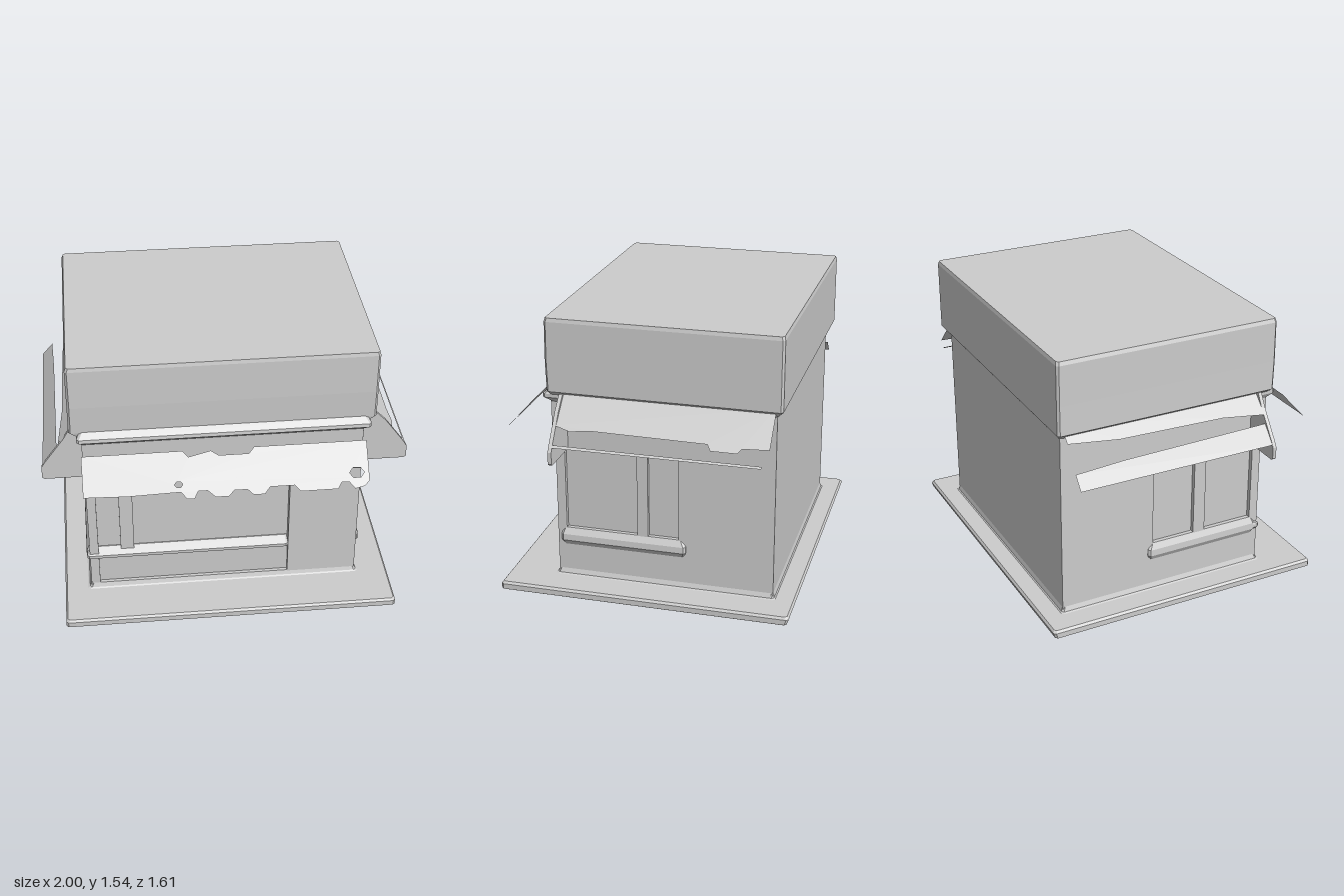
import * as THREE from 'three';

const grey = new THREE.MeshStandardMaterial({ color: 0xcccccc, side: THREE.DoubleSide });

export function createModel() {
  const model = new THREE.Group();

  const add = (name, geometry) => {
    const mesh = new THREE.Mesh(geometry, grey);
    mesh.name = name;
    model.add(mesh);
    return mesh;
  };

  // Box given by its extents
  const block = (name, x0, x1, y0, y1, z0, z1) => {
    const g = new THREE.BoxGeometry(x1 - x0, y1 - y0, z1 - z0);
    g.translate((x0 + x1) / 2, (y0 + y1) / 2, (z0 + z1) / 2);
    return add(name, g);
  };

  // Stack of chamfered rectangles; each level is [y, x0, x1, z0, z1]
  const loft = (name, levels, c = 0.012) => {
    const rings = levels.map(([y, a, b, d, e]) => [
      [a + c, e], [b - c, e], [b, e - c], [b, d + c],
      [b - c, d], [a + c, d], [a, d + c], [a, e - c],
    ].map(([x, z]) => [x, y, z]));
    const p = [];
    for (let k = 0; k + 1 < rings.length; k++) {
      for (let i = 0; i < 8; i++) {
        const j = (i + 1) % 8, lo = rings[k], hi = rings[k + 1];
        p.push(...lo[i], ...lo[j], ...hi[j], ...lo[i], ...hi[j], ...hi[i]);
      }
    }
    const first = rings[0], last = rings[rings.length - 1];
    for (let i = 1; i < 7; i++) {
      p.push(...first[0], ...first[i + 1], ...first[i]);
      p.push(...last[0], ...last[i], ...last[i + 1]);
    }
    const g = new THREE.BufferGeometry();
    g.setAttribute('position', new THREE.Float32BufferAttribute(p, 3));
    g.computeVertexNormals();
    return add(name, g);
  };

  const shapeOf = (pts) => new THREE.Shape(pts.map(([x, y]) => new THREE.Vector2(x, y)));
  const rect = (x0, x1, y0, y1) => shapeOf([[x0, y0], [x1, y0], [x1, y1], [x0, y1]]);

  // Ground slab
  loft('baseSlab', [
    [0, -0.9, 0.91, -0.78, 0.77],
    [0.012, -0.92, 0.93, -0.8, 0.785],
    [0.042, -0.92, 0.93, -0.81, 0.785],
    [0.055, -0.91, 0.92, -0.8, 0.775],
  ]);

  // Recessed core, back wall and flared foot
  block('wallCore', -0.745, 0.715, 0.04, 1.12, -0.69, 0.47);
  loft('wallFoot', [
    [0.05, -0.8, 0.77, -0.71, 0.535],
    [0.06, -0.78, 0.75, -0.697, 0.52],
    [0.085, -0.77, 0.74, -0.69, 0.51],
  ]);

  // Upper storey with chamfered underside
  loft('upperStorey', [
    [1.09, -0.77, 0.74, -0.69, 0.52],
    [1.14, -0.84, 0.8, -0.73, 0.53],
    [1.3, -0.838, 0.8, -0.73, 0.535],
    [1.52, -0.838, 0.8, -0.73, 0.533],
    [1.54, -0.83, 0.795, -0.725, 0.528],
  ]);
  loft('frontLedge', [
    [1.065, -0.78, 0.74, 0.46, 0.53],
    [1.095, -0.8, 0.77, 0.46, 0.565],
    [1.115, -0.8, 0.77, 0.46, 0.562],
    [1.145, -0.78, 0.75, 0.46, 0.53],
  ]);

  // Front wall: door panel, header, window frame
  block('doorPanel', 0.35, 0.735, 0.05, 0.82, 0.46, 0.512);
  block('frontHeader', -0.775, 0.735, 0.8, 1.1, 0.46, 0.528);
  block('frontCornerPost', -0.77, -0.72, 0.05, 0.82, 0.46, 0.51);
  block('frontMullion', -0.595, -0.52, 0.28, 0.82, 0.46, 0.492);
  block('frontLowerWall', -0.77, 0.35, 0.05, 0.27, 0.46, 0.49);
  loft('frontSill', [
    [0.25, -0.77, 0.345, 0.46, 0.492],
    [0.27, -0.785, 0.35, 0.46, 0.52],
    [0.288, -0.785, 0.35, 0.46, 0.52],
    [0.32, -0.77, 0.345, 0.46, 0.475],
  ]);

  // Side walls with two window recesses and a sill each
  const sideWall = (name, outerX, depth, zBack, zMid0, zMid1) => {
    const s = rect(-0.69, 0.508, 0.05, 1.12);
    s.holes.push(rect(zBack, zMid0, 0.33, 0.8), rect(zMid1, 0.46, 0.33, 0.8));
    const g = new THREE.ExtrudeGeometry(s, { depth, bevelEnabled: false });
    g.rotateY(-Math.PI / 2);
    g.translate(outerX, 0, 0);
    add(name, g);
  };
  sideWall('leftWall', 0.74, 0.03, -0.17, 0.0, 0.06);
  sideWall('rightWall', -0.742, 0.028, -0.15, 0.1, 0.17);
  loft('leftSill', [
    [0.235, 0.71, 0.74, -0.2, 0.48],
    [0.265, 0.71, 0.76, -0.21, 0.49],
    [0.3, 0.71, 0.758, -0.21, 0.49],
    [0.335, 0.71, 0.738, -0.19, 0.48],
  ]);
  loft('rightSill', [
    [0.235, -0.77, -0.74, -0.17, 0.48],
    [0.265, -0.788, -0.74, -0.18, 0.49],
    [0.3, -0.786, -0.74, -0.18, 0.49],
    [0.335, -0.768, -0.74, -0.16, 0.48],
  ]);

  // Front awning: torn thin sheet, drawn as x against height then leaned out
  const canopy = shapeOf([
    [-0.78, 1.06], [-0.25, 1.06], [-0.22, 1.035], [-0.1, 1.055], [-0.06, 1.035],
    [0.1, 1.035], [0.13, 1.06], [0.73, 1.06], [0.73, 0.9], [0.7, 0.88],
    [0.65, 0.872], [0.62, 0.9], [0.58, 0.9], [0.56, 0.875], [0.36, 0.875],
    [0.33, 0.9], [0.2, 0.9], [0.17, 0.873], [0.11, 0.873], [0.08, 0.895],
    [0.01, 0.895], [-0.02, 0.873], [-0.09, 0.873], [-0.13, 0.9], [-0.18, 0.9],
    [-0.2, 0.872], [-0.24, 0.872], [-0.27, 0.9], [-0.55, 0.895], [-0.78, 0.9],
  ]);
  const tear = (x, y, r) => {
    const h = new THREE.Path();
    h.absellipse(x, y, r, r * 0.55, 0, Math.PI * 2);
    canopy.holes.push(h);
  };
  tear(-0.28, 0.93, 0.022);
  tear(0.665, 0.935, 0.04);
  const canopyGeo = new THREE.ShapeGeometry(canopy, 3);
  const cp = canopyGeo.attributes.position;
  for (let i = 0; i < cp.count; i++) cp.setZ(i, 0.63 + (1.06 - cp.getY(i)) * 0.91);
  canopyGeo.computeVertexNormals();
  add('frontAwning', canopyGeo);

  // Side awnings: sheet drawn as z against x, height falls with distance out
  const sideSheet = (name, side, pts, y0, x0, slope) => {
    const g = new THREE.ShapeGeometry(shapeOf(pts));
    const p = g.attributes.position;
    for (let i = 0; i < p.count; i++) {
      const z = p.getX(i), out = p.getY(i);
      p.setXYZ(i, side * out, y0 - (out - x0) * slope, z);
    }
    g.computeVertexNormals();
    add(name, g);
  };
  sideSheet('leftAwning', 1, [
    [-0.69, 0.76], [0.455, 0.76], [0.455, 0.91], [0.36, 0.93], [0.25, 0.92],
    [-0.37, 0.925], [-0.39, 0.95], [-0.53, 0.95], [-0.55, 0.93], [-0.69, 0.925],
  ], 1.13, 0.78, 1.0);
  sideSheet('leftAwningRim', 1, [
    [-0.66, 0.975], [0.455, 0.975], [0.455, 0.987], [-0.66, 0.985],
  ], 0.915, 0.975, 1.0);
  sideSheet('rightAwning', -1, [
    [-0.68, 0.93], [-0.4, 0.92], [0.455, 0.91], [0.455, 0.99], [-0.68, 0.99],
  ], 0.985, 0.91, 1.15);
  sideSheet('rightAwningStub', -1, [
    [-0.68, 0.76], [0.455, 0.76], [0.455, 0.9], [0.2, 0.875], [-0.4, 0.865], [-0.68, 0.84],
  ], 1.13, 0.8, 1.0);

  // Closed front ends of the side awnings
  for (const [name, side] of [['leftAwningEnd', 1], ['rightAwningEnd', -1]]) {
    const shift = side > 0 ? 0 : 0.03;
    const s = shapeOf([
      [0.72, 0.805], [0.985, 0.805], [0.998, 0.815], [0.998, 0.88], [0.98, 0.91],
      [0.87, 1.06], [0.8 + shift, 1.13], [0.72, 1.13],
    ].map(([x, y]) => [side * x, y]));
    const g = new THREE.ExtrudeGeometry(s, { depth: 0.02, bevelEnabled: false });
    g.translate(0, 0, 0.44);
    add(name, g);
  }

  return model;
}
